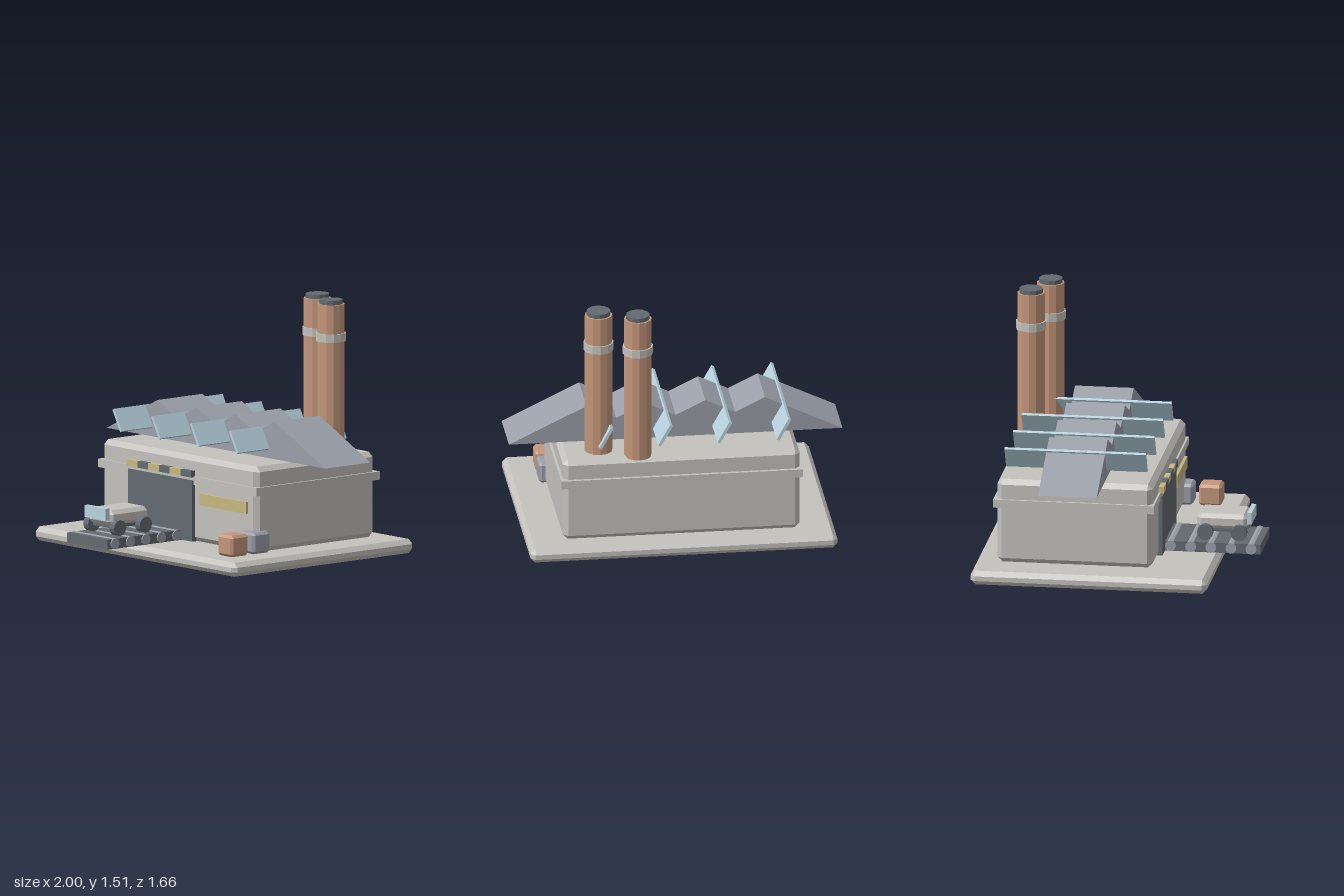
import * as THREE from 'three';
import { ConvexGeometry } from 'three/addons/geometries/ConvexGeometry.js';

const material = (name, color) => Object.assign(new THREE.MeshStandardMaterial({ color }), { name });

export function createModel() {
  const model = new THREE.Group();
  model.name = 'factory';
  const concrete = material('concrete', 0xc4c2bd);
  const steel = material('steel grey', 0x9a9fa9);
  const dark = material('dark grey', 0x626a71);
  const brick = material('brick', 0xc4967a);
  const glass = material('glass', 0xb8d3de);
  const yellow = material('yellow', 0xc8b880);

  function add(name, geometry, mat, x = 0, y = 0, z = 0, parent = model) {
    const mesh = new THREE.Mesh(geometry, mat);
    mesh.name = name;
    mesh.position.set(x, y, z);
    parent.add(mesh);
    return mesh;
  }

  // Plain box given by its min and max on each axis
  function box(name, mat, [x0, x1], [y0, y1], [z0, z1], parent) {
    return add(name, new THREE.BoxGeometry(x1 - x0, y1 - y0, z1 - z0), mat,
      (x0 + x1) / 2, (y0 + y1) / 2, (z0 + z1) / 2, parent);
  }

  // Box with every edge chamfered by c
  function chamferBox(name, mat, [x0, x1], [y0, y1], [z0, z1], c, parent) {
    const half = [(x1 - x0) / 2, (y1 - y0) / 2, (z1 - z0) / 2];
    const points = [];
    for (const sx of [-1, 1]) for (const sy of [-1, 1]) for (const sz of [-1, 1]) {
      for (let axis = 0; axis < 3; axis++) {
        const p = [sx, sy, sz].map((s, i) => s * (half[i] - (i === axis ? 0 : c)));
        points.push(new THREE.Vector3(...p));
      }
    }
    return add(name, new ConvexGeometry(points), mat,
      (x0 + x1) / 2, (y0 + y1) / 2, (z0 + z1) / 2, parent);
  }

  // Flat-sided cylinder
  function drum(radius, height, sides = 12) {
    const g = new THREE.CylinderGeometry(radius, radius, height, sides).toNonIndexed();
    g.computeVertexNormals();
    return g;
  }

  // Ground slab, hall and the belt round its walls
  chamferBox('groundSlab', concrete, [-0.92, 0.92], [0, 0.085], [-0.83, 0.59], 0.028);
  chamferBox('hall', concrete, [-0.71, 0.71], [0.085, 0.6], [-0.7, 0.235], 0.03);
  box('wallBelt', concrete, [-0.725, 0.725], [0.43, 0.48], [-0.72, 0.247]);

  // Loading door, striped lintel and front window
  box('door', dark, [-0.44, 0.15], [0.088, 0.456], [0.225, 0.257]);
  const stripe = 0.59 / 6;
  for (let i = 0; i < 6; i++) {
    const x = -0.44 + i * stripe;
    box('lintelStripe', i % 2 ? dark : yellow, [x, x + stripe], [0.475, 0.514], [0.235, 0.266]);
  }
  box('frontWindow', yellow, [0.21, 0.635], [0.315, 0.386], [0.23, 0.253]);

  // Sawtooth roof
  const profile = new THREE.Shape([
    [-1, 0.6], [1, 0.6], [0.535, 0.825], [0.357, 0.739], [0.178, 0.825], [0, 0.739],
    [-0.178, 0.825], [-0.357, 0.739], [-0.535, 0.825],
  ].map(([x, y]) => new THREE.Vector2(x, y)));
  add('sawtoothRoof', new THREE.ExtrudeGeometry(profile, { depth: 0.353, bevelEnabled: false }),
    steel, 0, 0, -0.41);

  // Tilted skylights
  for (let i = 0; i < 4; i++) {
    const pane = add('skylight', new THREE.BoxGeometry(0.018, 0.145, 0.85), glass,
      -0.617 + i * 0.355, 0.717, -0.236);
    pane.rotation.z = 0.51;
  }

  // Chimneys
  for (const [x, z] of [[0.255, -0.633], [0.48, -0.547]]) {
    const chimney = new THREE.Group();
    chimney.name = 'chimney';
    chimney.position.set(x, 0, z);
    model.add(chimney);
    add('chimneyStack', drum(0.083, 0.89), brick, 0, 1.035, 0, chimney);
    add('chimneyBand', drum(0.091, 0.05), concrete, 0, 1.281, 0, chimney);
    add('chimneyCap', drum(0.071, 0.04), dark, 0, 1.486, 0, chimney);
  }

  // Conveyor with rollers
  const conveyor = new THREE.Group();
  conveyor.name = 'conveyor';
  model.add(conveyor);
  box('conveyorBed', dark, [-0.325, 0.043], [0.086, 0.146], [0.24, 0.83], conveyor);
  for (let i = 0; i < 5; i++) {
    const roller = add('roller', drum(0.033, 0.384), steel, -0.141, 0.118, 0.29 + i * 0.121, conveyor);
    roller.rotation.z = Math.PI / 2;
  }

  // Small truck
  const truck = new THREE.Group();
  truck.name = 'truck';
  model.add(truck);
  chamferBox('truckBody', concrete, [-0.252, -0.032], [0.208, 0.3], [0.435, 0.74], 0.024, truck);
  box('truckChassis', dark, [-0.23, -0.054], [0.19, 0.212], [0.47, 0.71], truck);
  box('windscreen', glass, [-0.24, -0.048], [0.244, 0.315], [0.737, 0.765], truck);
  for (const z of [0.49, 0.692]) {
    for (const side of [-1, 1]) {
      const wheel = add('wheel', drum(0.048, 0.044), dark, -0.142 + side * 0.119, 0.197, z, truck);
      wheel.rotation.z = Math.PI / 2;
    }
  }

  // Crates beside the hall
  chamferBox('brownCrate', brick, [0.61, 0.748], [0.086, 0.215], [0.322, 0.46], 0.016);
  chamferBox('greyCrate', steel, [0.61, 0.748], [0.086, 0.215], [0.152, 0.29], 0.016);

  return model;
}
